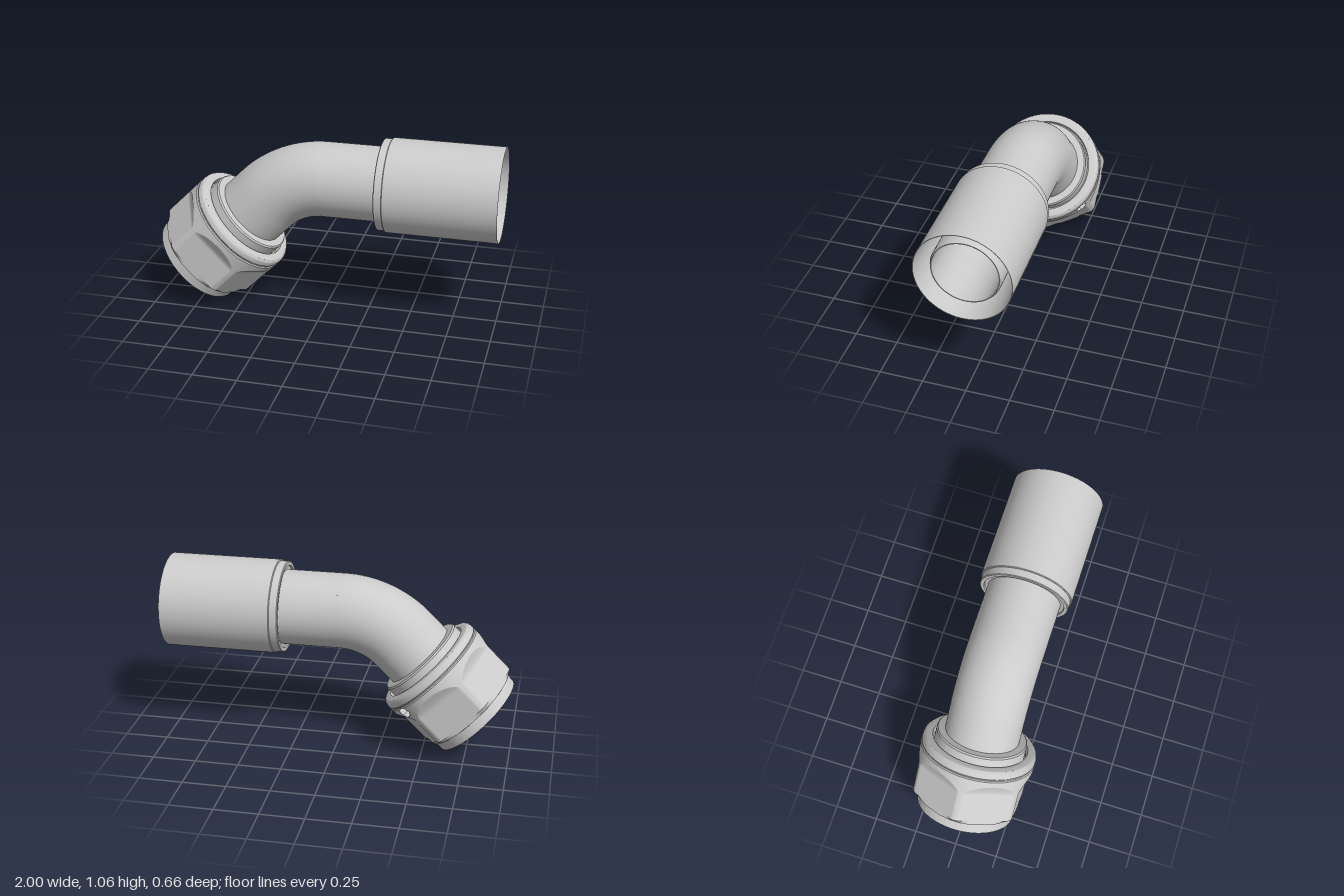
import * as THREE from 'three';
import { toCreasedNormals } from 'three/addons/utils/BufferGeometryUtils.js';

const metal = new THREE.MeshStandardMaterial({ color: 0xcccccc });

function add(parent, name, geometry) {
  const mesh = new THREE.Mesh(geometry, metal);
  mesh.name = name;
  parent.add(mesh);
  return mesh;
}

// Turned part from [radius, height] pairs: up the outside, down the inside
function turned(points, segments = 96) {
  return new THREE.LatheGeometry(points.map(p => new THREE.Vector2(...p)), segments);
}

// Circular arc followed by the bent pipe
class Bend extends THREE.Curve {
  getPoint(t, target = new THREE.Vector3()) {
    const a = Math.PI / 2 + t * Math.PI / 4;
    return target.set(-0.008 + 0.5 * Math.cos(a), 0.285 + 0.5 * Math.sin(a), 0);
  }
}

// Split a profile into short steps so that its surface can be reshaped
function subdivide(points, step) {
  const out = [points[0]];
  for (let i = 1; i < points.length; i++) {
    const [r0, y0] = points[i - 1], [r1, y1] = points[i];
    const long = r0 > 0.32 && r1 > 0.32;
    const n = long ? Math.ceil(Math.abs(y1 - y0) / step) : 1;
    for (let k = 1; k <= n; k++) out.push([r0 + (r1 - r0) * k / n, y0 + (y1 - y0) * k / n]);
  }
  return out;
}

// Hexagon flats that sweep out into a round collar, with one small vent hole
function nutGeometry() {
  const profile = [
    [0.27, 0], [0.284, 0], [0.286, 0.06], [0.3, 0.064], [0.332, 0.09], [0.332, 0.372],
    [0.326, 0.378], [0.326, 0.384], [0.331, 0.39], [0.331, 0.405], [0.327, 0.42],
    [0.317, 0.432], [0.305, 0.436], [0.275, 0.436], [0.27, 0.4], [0.255, 0.39], [0.255, 0.015], [0.27, 0],
  ];
  const geo = turned(subdivide(profile, 0.006), 360);
  const pos = geo.attributes.position;
  const hole = new THREE.Vector3(0.2, 0.342, -0.263);
  const v = new THREE.Vector3();
  const sector = Math.PI / 3;
  for (let i = 0; i < pos.count; i++) {
    v.fromBufferAttribute(pos, i);
    let r = Math.hypot(v.x, v.z);
    if (r < 0.29) continue;
    const angle = Math.atan2(v.z, v.x) + 2 * Math.PI;
    const off = angle % sector - sector / 2;
    const ramp = Math.max(0, (v.y - 0.27) / 0.08);
    r = Math.min(r, (0.295 + 0.045 * ramp ** 1.4) / Math.cos(off));
    if (v.distanceTo(hole) < 0.031) r -= 0.045;
    pos.setXYZ(i, r * Math.cos(angle), v.y, r * Math.sin(angle));
  }
  return toCreasedNormals(geo, 0.38);
}

export function createModel() {
  const model = new THREE.Group();
  model.name = 'elbowFitting';

  // Bent pipe, outer wall and bore
  add(model, 'bentPipe', new THREE.TubeGeometry(new Bend(), 48, 0.215, 96));
  const bore = add(model, 'bentPipeBore', new THREE.TubeGeometry(new Bend(), 48, 0.183, 96));
  bore.material = metal.clone();
  bore.material.side = THREE.DoubleSide;

  // Straight end along +x: pipe, collar, sleeve and inner nipple
  const straight = new THREE.Group();
  straight.name = 'straightEnd';
  straight.position.y = 0.785;
  straight.rotation.z = -Math.PI / 2;
  model.add(straight);
  const crease = points => toCreasedNormals(turned(points), 0.5);
  add(straight, 'straightPipe', crease([[0.215, -0.008], [0.215, 0.42], [0.183, 0.42], [0.183, -0.008]]));
  add(straight, 'collar', crease([[0.21, 0.325], [0.235, 0.325], [0.238, 0.315], [0.258, 0.315], [0.262, 0.319],
    [0.262, 0.37], [0.21, 0.37]]));
  add(straight, 'sleeve', crease([[0.21, 0.362], [0.266, 0.362], [0.27, 0.366], [0.27, 1], [0.267, 1],
    [0.242, 0.45], [0.21, 0.45]]));
  add(straight, 'nipple', crease([[0.195, 0.4], [0.195, 0.94], [0.188, 0.955], [0.183, 0.955], [0.183, 0.4]]));

  // Angled end: swivel nut around the pipe, shoulder and cone seat
  const angled = new THREE.Group();
  angled.name = 'angledEnd';
  angled.position.set(-0.8, 0.2, 0);
  angled.rotation.z = -Math.PI / 4;
  model.add(angled);
  add(angled, 'swivelNut', nutGeometry());
  add(angled, 'angledPipe', crease([[0.215, 0.4], [0.215, 0.621], [0.183, 0.621], [0.183, 0.4]]));
  add(angled, 'shoulder', crease([[0.255, 0.39], [0.262, 0.4], [0.262, 0.476], [0.255, 0.485], [0.21, 0.488]]));
  add(angled, 'coneSeat', crease([[0.183, 0.12], [0.205, 0.12], [0.25, 0.26], [0.255, 0.28], [0.255, 0.41],
    [0.183, 0.41], [0.183, 0.12]]));

  return model;
}
